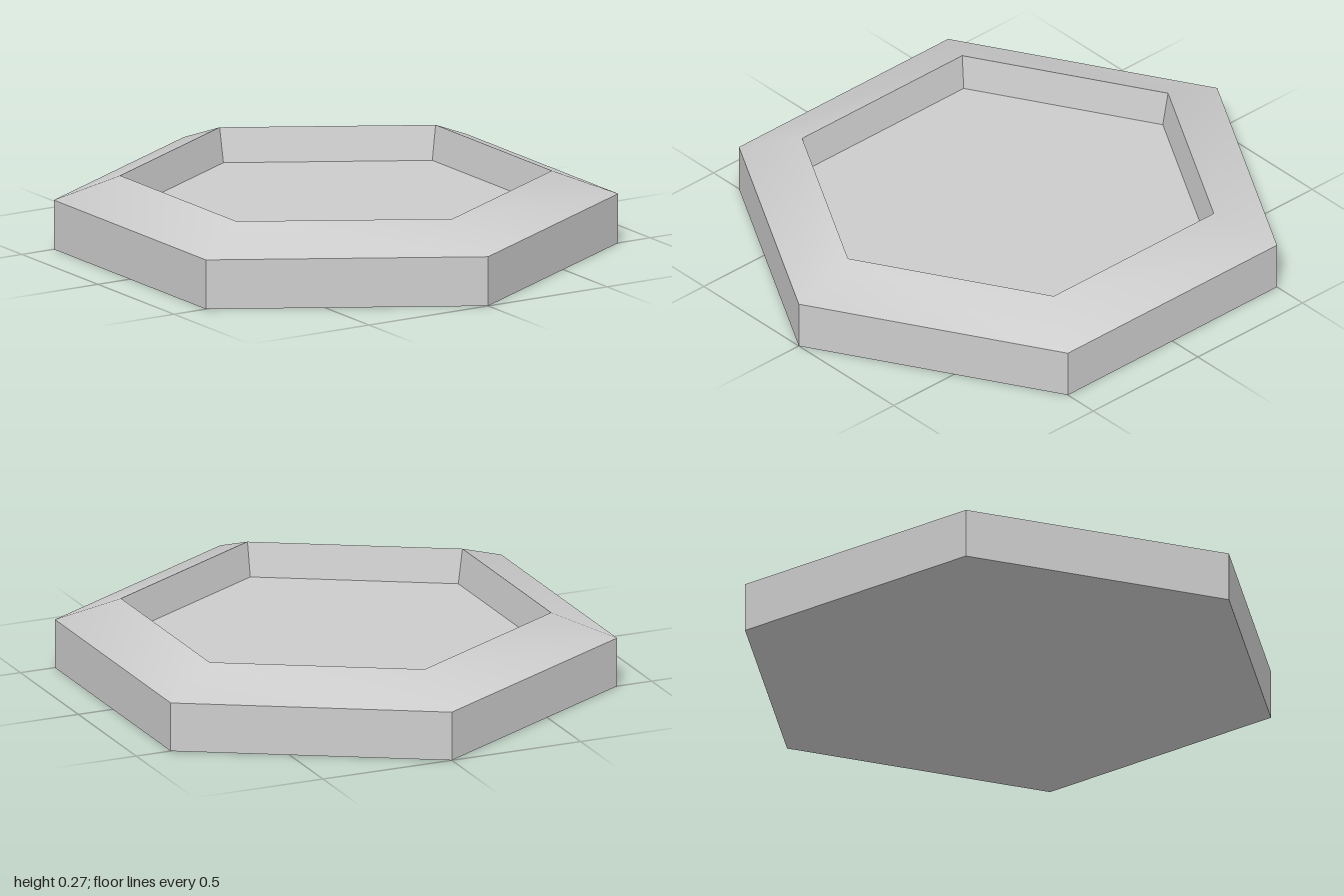
import * as THREE from 'three';
import { toCreasedNormals } from 'three/addons/utils/BufferGeometryUtils.js';

const SIDES = 6;
const OUTER = 1, RIM = 0.765, FLOOR = 0.74;
const WALL_TOP = 0.18, RIM_TOP = 0.267, FLOOR_Y = 0.143;

// Six-sided ring swept from a short profile of [radius, height] points.
function hexRing(name, profile, material) {
  const points = profile.map(([r, y]) => new THREE.Vector2(r, y));
  const geometry = toCreasedNormals(new THREE.LatheGeometry(points, SIDES), Math.PI / 6);
  const mesh = new THREE.Mesh(geometry, material);
  mesh.name = name;
  return mesh;
}

// Flat hexagon facing up or down, with a corner towards +z.
function hexPlate(name, radius, y, up, material) {
  const geometry = new THREE.CircleGeometry(radius, SIDES, Math.PI / 2);
  geometry.rotateX(up ? -Math.PI / 2 : Math.PI / 2);
  const mesh = new THREE.Mesh(geometry, material);
  mesh.position.y = y;
  mesh.name = name;
  return mesh;
}

export function createModel() {
  const grey = new THREE.MeshStandardMaterial({ color: 0xcccccc });
  grey.name = 'light grey';

  const tile = new THREE.Group();
  tile.name = 'hexagonalTray';
  tile.add(
    // closed underside and upright outer sides
    hexPlate('underside', OUTER, 0, false, grey),
    hexRing('outerWall', [[OUTER, 0], [OUTER, WALL_TOP]], grey),
    // softly shaded sloping border
    hexRing('slopedRim', [[OUTER, WALL_TOP], [RIM, RIM_TOP]], grey),
    // recess with slightly tapered walls
    hexRing('recessWall', [[RIM, RIM_TOP], [FLOOR, FLOOR_Y]], grey),
    hexPlate('recessFloor', FLOOR, FLOOR_Y, true, grey)
  );
  return tile;
}
